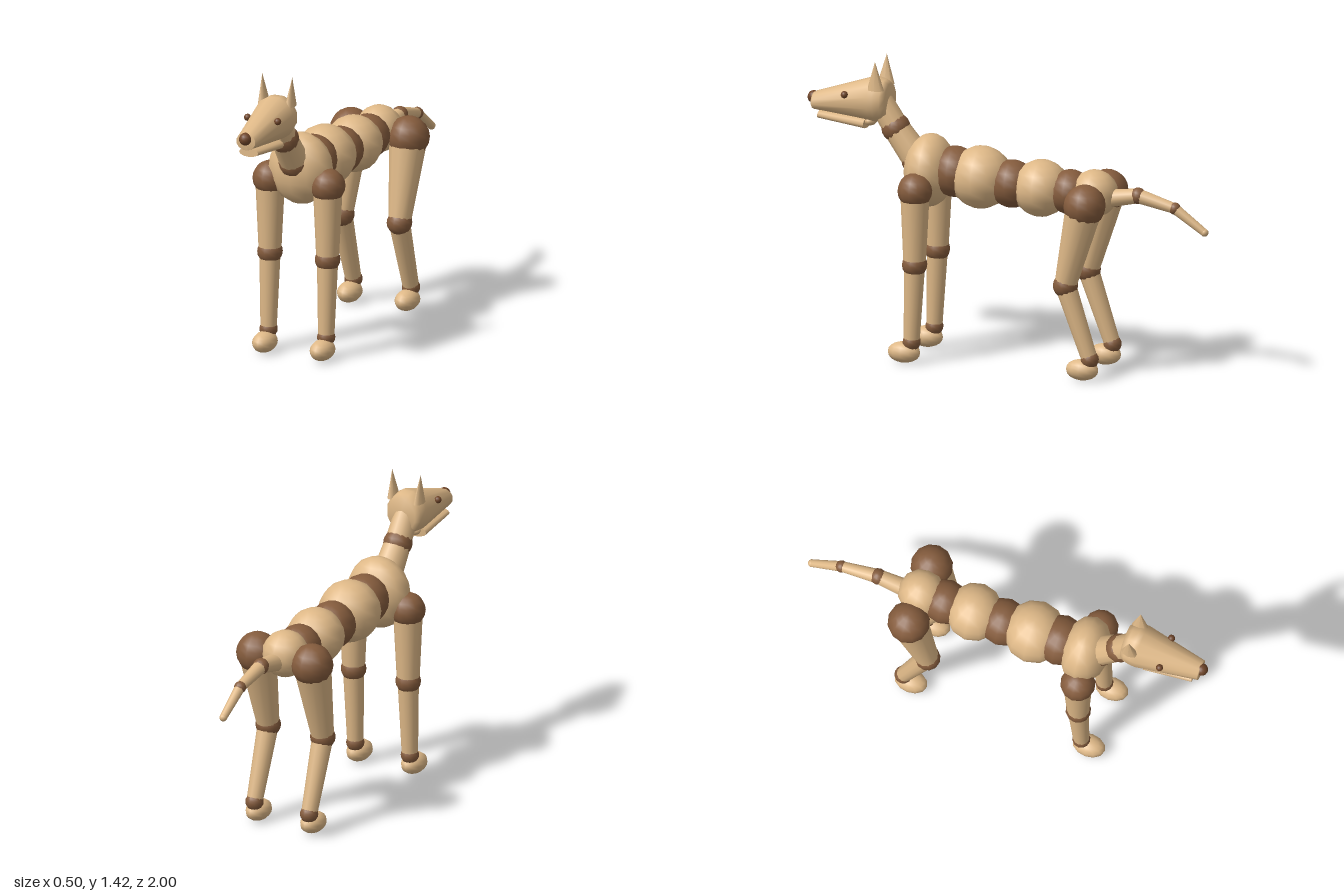
import * as THREE from 'three';

const wood = new THREE.MeshStandardMaterial({ color: 0xdeb887 });
wood.name = 'lightWood';
const joint = new THREE.MeshStandardMaterial({ color: 0x855c3d });
joint.name = 'brownJoint';
const dark = new THREE.MeshStandardMaterial({ color: 0x6f4529 });
dark.name = 'darkBrown';

const V = (x, y, z) => new THREE.Vector3(x, y, z);

export function createModel() {
  const model = new THREE.Group();
  model.name = 'jointedDog';

  function add(name, geometry, material, parent = model) {
    const mesh = new THREE.Mesh(geometry, material);
    mesh.name = name;
    parent.add(mesh);
    return mesh;
  }

  // Ball or ellipsoid at a point
  function ball(name, p, rx, material, parent = model, ry = rx, rz = rx) {
    const mesh = add(name, new THREE.SphereGeometry(1, 12, 10), material, parent);
    mesh.position.copy(p);
    mesh.scale.set(rx, ry, rz);
    return mesh;
  }

  // Tapered rod from a to b; flat squashes it vertically when it lies along z
  function rod(name, a, b, ra, rb, parent = model, flat = 1) {
    const dir = b.clone().sub(a);
    const geo = new THREE.CylinderGeometry(rb, ra, dir.length(), 12);
    geo.scale(1, 1, flat);
    const mesh = add(name, geo, wood, parent);
    mesh.position.copy(a).add(b).multiplyScalar(0.5);
    mesh.quaternion.setFromUnitVectors(V(0, 1, 0), dir.normalize());
    return mesh;
  }

  // Body: light beads alternating with brown spine joints
  ball('chest', V(0, 0.902, 0.39), 0.16, wood, model, 0.173, 0.118);
  ball('ribBead', V(0, 0.892, 0.135), 0.148, wood);
  ball('waistBead', V(0, 0.868, -0.165), 0.138, wood, model, 0.135, 0.135);
  ball('hipBead', V(0, 0.868, -0.43), 0.112, wood);
  ball('spineJointFront', V(0, 0.907, 0.265), 0.12, joint, model, 0.12, 0.12);
  ball('spineJointMiddle', V(0, 0.875, -0.02), 0.113, joint);
  ball('spineJointRear', V(0, 0.863, -0.31), 0.106, joint);

  // Neck
  const neckBase = V(0, 0.945, 0.45);
  const neckMid = V(0, 1.09, 0.56);
  const neckTop = V(0, 1.21, 0.635);
  ball('neckBaseJoint', neckBase, 0.078, joint);
  rod('lowerNeck', neckBase, neckMid, 0.072, 0.063);
  ball('neckJoint', neckMid, 0.069, joint);
  rod('upperNeck', neckMid, neckTop, 0.062, 0.058);

  // Head: turned profile along z, with the snout drooping slightly
  const profile = [[0, 0], [0.078, 0.002], [0.094, 0.025], [0.101, 0.06],
    [0.102, 0.085], [0.05, 0.375], [0.049, 0.38], [0, 0.38]];
  const headGeo = new THREE.LatheGeometry(profile.map(([r, t]) => new THREE.Vector2(r, t)), 12);
  headGeo.rotateY(Math.PI / 12);
  headGeo.rotateX(Math.PI / 2);
  const pos = headGeo.attributes.position;
  for (let i = 0; i < pos.count; i++) {
    const z = pos.getZ(i);
    const droop = Math.max(0, z - 0.08) / 0.3;
    pos.setY(i, pos.getY(i) * (1.05 - 0.2 * droop) + 1.22 - 0.035 * droop);
    pos.setZ(i, z + 0.587);
  }
  headGeo.computeVertexNormals();
  add('head', headGeo, wood);
  rod('lowerJaw', V(0, 1.105, 0.7), V(0, 1.125, 0.935), 0.068, 0.05, model, 0.42);
  ball('jawHinge', V(0, 1.115, 0.685), 0.045, wood, model, 0.025, 0.03);
  ball('nose', V(0, 1.2, 0.969), 0.03, dark);

  // Tail
  const tail = [V(0, 0.85, -0.5), V(0, 0.876, -0.647), V(0, 0.832, -0.83), V(0, 0.73, -0.978)];
  const tailR = [0.044, 0.035, 0.025, 0.018];
  for (let i = 0; i < 3; i++) {
    rod('tailSegment' + (i + 1), tail[i], tail[i + 1], tailR[i], tailR[i + 1]);
    if (i > 0) ball('tailJoint' + i, tail[i], tailR[i] + 0.004, joint);
  }
  ball('tailTip', tail[3], 0.019, wood);

  // One leg: body joint, thigh, knee, shin, ankle and paw
  function leg(name, x, top, knee, ankle, paw, rJoint, rTop) {
    const g = new THREE.Group();
    g.name = name;
    model.add(g);
    const at = ([y, z]) => V(x, y, z);
    ball('bodyJoint', at(top), rJoint, joint, g);
    rod('upperLeg', at(top), at(knee), rTop, 0.053, g);
    ball('kneeJoint', at(knee), 0.06, joint, g);
    rod('lowerLeg', at(knee), at(ankle), 0.05, 0.038, g);
    ball('ankleJoint', at(ankle), 0.043, joint, g);
    ball('paw', at(paw), 0.055, wood, g, 0.05, 0.08);
  }

  for (const [side, s] of [['left', 1], ['right', -1]]) {
    leg(side + 'FrontLeg', s * 0.15, [0.838, 0.408], [0.48, 0.41], [0.105, 0.425],
      [0.053, 0.463], 0.083, 0.07);
    leg(side + 'HindLeg', s * 0.15, [0.845, -0.437], [0.453, -0.342], [0.105, -0.463],
      [0.053, -0.425], 0.1, 0.09);

    // Eyes and pointed ears
    ball(side + 'Eye', V(s * 0.078, 1.246, 0.788), 0.017, dark);
    const earGeo = new THREE.ConeGeometry(0.042, 0.14, 8);
    earGeo.scale(0.55, 1, 1);
    const ear = add(side + 'Ear', earGeo, wood);
    ear.position.set(s * 0.074, 1.35, 0.635);
    ear.rotation.z = -s * 0.06;
  }

  return model;
}
